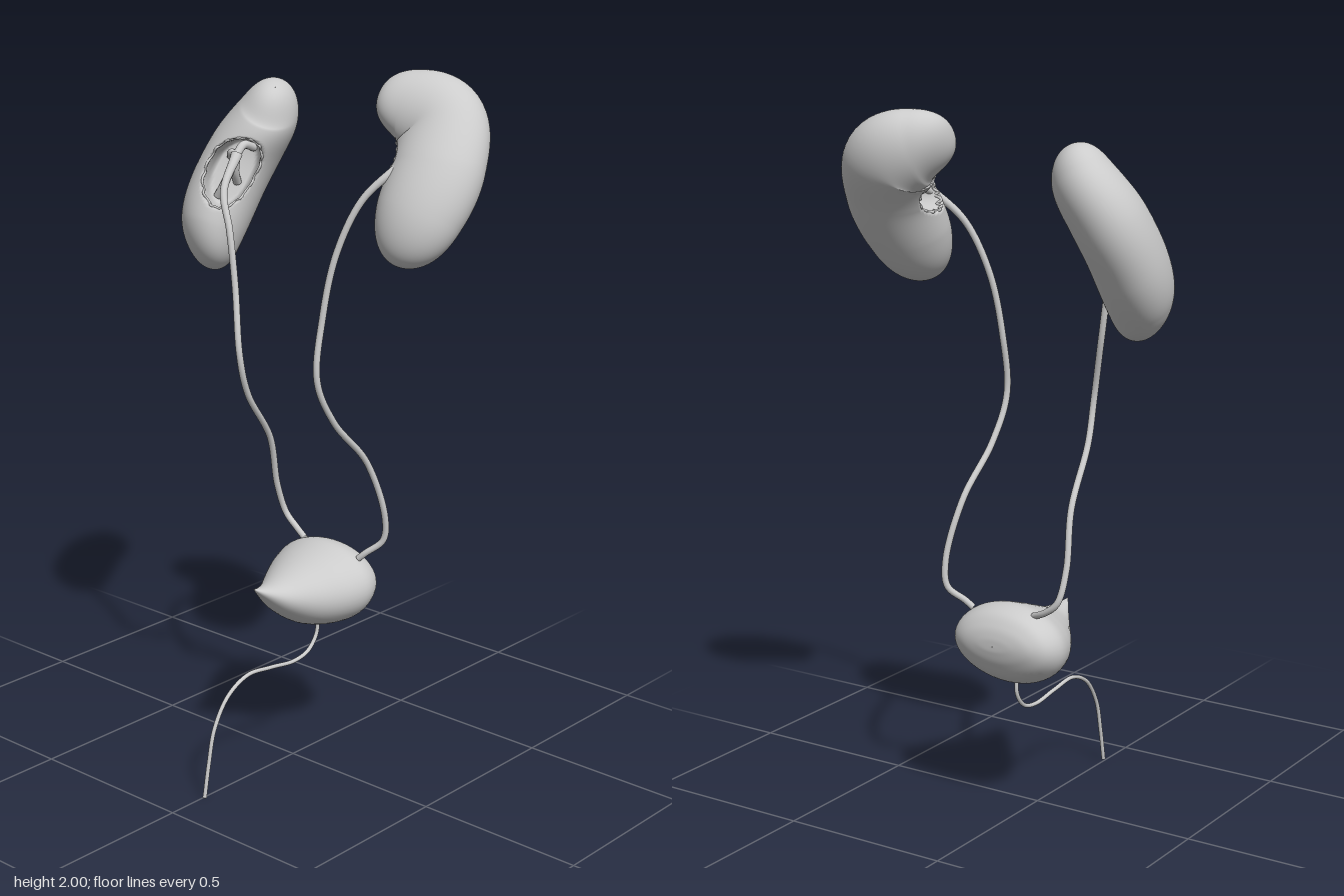
import * as THREE from 'three';

const material = new THREE.MeshStandardMaterial({ color: 0xcccccc, side: THREE.DoubleSide });
const V = (p) => new THREE.Vector3(...p);
const spline = (pts, closed = false) => new THREE.CatmullRomCurve3(pts.map((p) => (p.isVector3 ? p : V(p))), closed);

function part(name, geometry) {
  const mesh = new THREE.Mesh(geometry, material);
  mesh.name = name;
  return mesh;
}

// Smooth closed skin over rings of points given by surface(s, angle), s in 0..1
function loft(surface, rings, sides) {
  const pos = [], idx = [];
  for (let i = 0; i <= rings; i++) {
    for (let j = 0; j < sides; j++) pos.push(...surface(i / rings, (j / sides) * Math.PI * 2).toArray());
  }
  for (let i = 0; i < rings; i++) {
    for (let j = 0; j < sides; j++) {
      const k = (j + 1) % sides;
      const a = i * sides + j, b = a + sides, c = i * sides + k, d = c + sides;
      idx.push(a, b, c, c, b, d);
    }
  }
  const g = new THREE.BufferGeometry();
  g.setAttribute('position', new THREE.Float32BufferAttribute(pos, 3));
  g.setIndex(idx);
  g.computeVertexNormals();
  return g;
}

// Tube that is thicker by "flare" at its start
function duct(name, pts, radius, flare = 0, segments = 120) {
  const g = new THREE.TubeGeometry(spline(pts), segments, radius, 12);
  const { position: p, normal: n, uv } = g.attributes;
  for (let i = 0; i < p.count; i++) {
    const e = flare * Math.exp(-uv.getX(i) * 18);
    p.setXYZ(i, p.getX(i) + n.getX(i) * e, p.getY(i) + n.getY(i) * e, p.getZ(i) + n.getZ(i) * e);
  }
  return part(name, g);
}

// Bean swept along a bent centreline, with a hollow facing "opening"
function kidney(name, { pts, opening, width, thick, pitU, pitA, pelvis }) {
  const group = new THREE.Group();
  group.name = name;
  const curve = spline(pts);
  const chord = V(pts[pts.length - 1]).sub(V(pts[0]));
  const normal = V(opening).cross(chord).normalize();

  const at = (u, angle) => {
    const wrapped = angle > Math.PI ? angle - Math.PI * 2 : angle;
    const d = (u - 0.5) / pitU, e = wrapped / pitA;
    const pit = THREE.MathUtils.smoothstep(1 - d * d - e * e, 0, 0.55);
    const r = Math.sqrt(Math.max(1e-5, 1 - Math.abs(2 * u - 1) ** 3.2));
    const inner = curve.getTangentAt(u).cross(normal).normalize();
    return curve.getPointAt(u)
      .addScaledVector(inner, Math.cos(angle) * width * r * (1 - 0.75 * pit))
      .addScaledVector(normal, Math.sin(angle) * thick * r);
  };
  group.add(part('kidneyBody', loft((s, t) => at(0.5 - 0.5 * Math.cos(Math.PI * s), t), 100, 96)));

  // uneven lip around the hollow
  const lip = [];
  for (let i = 0; i < 40; i++) {
    const t = (i / 40) * Math.PI * 2, k = 0.95 + 0.03 * Math.sin(i * 2.3);
    lip.push(at(0.5 + pitU * k * Math.cos(t), pitA * k * Math.sin(t)));
  }
  group.add(part('hilumLip', new THREE.TubeGeometry(spline(lip, true), 160, 0.004, 6, true)));

  // branches from the pelvis into the hollow
  for (const [du, t] of [[-0.6, 0.2], [-0.25, -0.25], [0.2, 0.25], [0.6, -0.1]]) {
    const end = at(0.5 + du * pitU, t);
    const bend = V(pelvis).lerp(end, 0.5).add(new THREE.Vector3(0, -du * 0.03, 0.008));
    group.add(duct('calyx', [pelvis, bend, end], 0.012, 0, 20));
  }
  return group;
}

// Teardrop: z, half width, top, bottom
const BLADDER = [
  [0.17, 0.002, 0.571, 0.567], [0.14, 0.022, 0.566, 0.535], [0.08, 0.064, 0.568, 0.475],
  [0, 0.12, 0.595, 0.42], [-0.07, 0.158, 0.62, 0.401], [-0.13, 0.173, 0.635, 0.402],
  [-0.18, 0.155, 0.62, 0.432], [-0.207, 0.115, 0.588, 0.475], [-0.218, 0.06, 0.557, 0.51],
  [-0.22, 0.001, 0.532, 0.53],
];

function bladder() {
  const size = spline(BLADDER.map(([z, w, top]) => [z, w, top]));
  const base = spline(BLADDER.map(([z, w, , bottom]) => [z, w, bottom]));
  return part('bladder', loft((s, t) => {
    const p = size.getPoint(s), top = p.z, bottom = base.getPoint(s).z;
    return new THREE.Vector3(
      0.006 + Math.max(p.y, 0.0005) * Math.cos(t),
      (top + bottom) / 2 + ((top - bottom) / 2) * Math.sin(t),
      p.x
    );
  }, 60, 48));
}

export function createModel() {
  const model = new THREE.Group();
  model.name = 'urinarySystem';

  // ureters run from the kidney hollows to the back of the bladder
  const leftUreter = [
    [0.3, 1.79, -0.15], [0.27, 1.75, -0.09], [0.215, 1.675, -0.035], [0.165, 1.53, 0.01],
    [0.142, 1.35, 0.04], [0.142, 1.18, 0.06], [0.152, 1.05, 0], [0.17, 0.91, -0.12],
    [0.193, 0.74, -0.175], [0.185, 0.665, -0.178], [0.145, 0.625, -0.15], [0.125, 0.605, -0.14],
  ];
  const rightUreter = [
    [-0.285, 1.73, -0.08], [-0.26, 1.64, 0], [-0.215, 1.54, 0.025], [-0.185, 1.38, 0.035],
    [-0.147, 1.2, 0.06], [-0.15, 1.08, 0.025], [-0.165, 0.92, -0.085], [-0.178, 0.76, -0.13],
    [-0.165, 0.67, -0.155], [-0.125, 0.635, -0.155], [-0.08, 0.615, -0.142],
  ];

  model.add(kidney('leftKidney', {
    pts: [
      [0.14, 1.905, -0.185], [0.215, 1.895, -0.24], [0.295, 1.86, -0.26],
      [0.347, 1.755, -0.19], [0.345, 1.64, -0.115], [0.325, 1.512, -0.045],
    ],
    opening: [-0.86, -0.3, 0.4], width: 0.13, thick: 0.1, pitU: 0.15, pitA: 0.65, pelvis: leftUreter[0],
  }));
  model.add(kidney('rightKidney', {
    pts: [
      [-0.22, 1.915, -0.17], [-0.262, 1.845, -0.19], [-0.325, 1.735, -0.165],
      [-0.352, 1.62, -0.105], [-0.348, 1.51, -0.04], [-0.325, 1.412, 0],
    ],
    opening: [0.62, 0.25, 0.75], width: 0.136, thick: 0.104, pitU: 0.26, pitA: 0.75, pelvis: rightUreter[0],
  }));

  model.add(duct('leftUreter', leftUreter, 0.0095, 0.007));
  model.add(duct('rightUreter', rightUreter, 0.0095, 0.007));
  model.add(bladder());

  // urethra leaves under the bladder and curves forward and down
  const urethra = [
    [-0.1, 0.41], [-0.096, 0.355], [-0.06, 0.312], [0, 0.298], [0.1, 0.31],
    [0.2, 0.318], [0.28, 0.28], [0.335, 0.2], [0.36, 0.1], [0.378, 0.003],
  ].map(([z, y]) => [0.006, y, z]);
  model.add(duct('urethra', urethra, 0.006));
  const tip = part('urethraTip', new THREE.SphereGeometry(0.006, 12, 8));
  tip.position.set(0.006, 0.006, 0.378);
  model.add(tip);

  return model;
}
